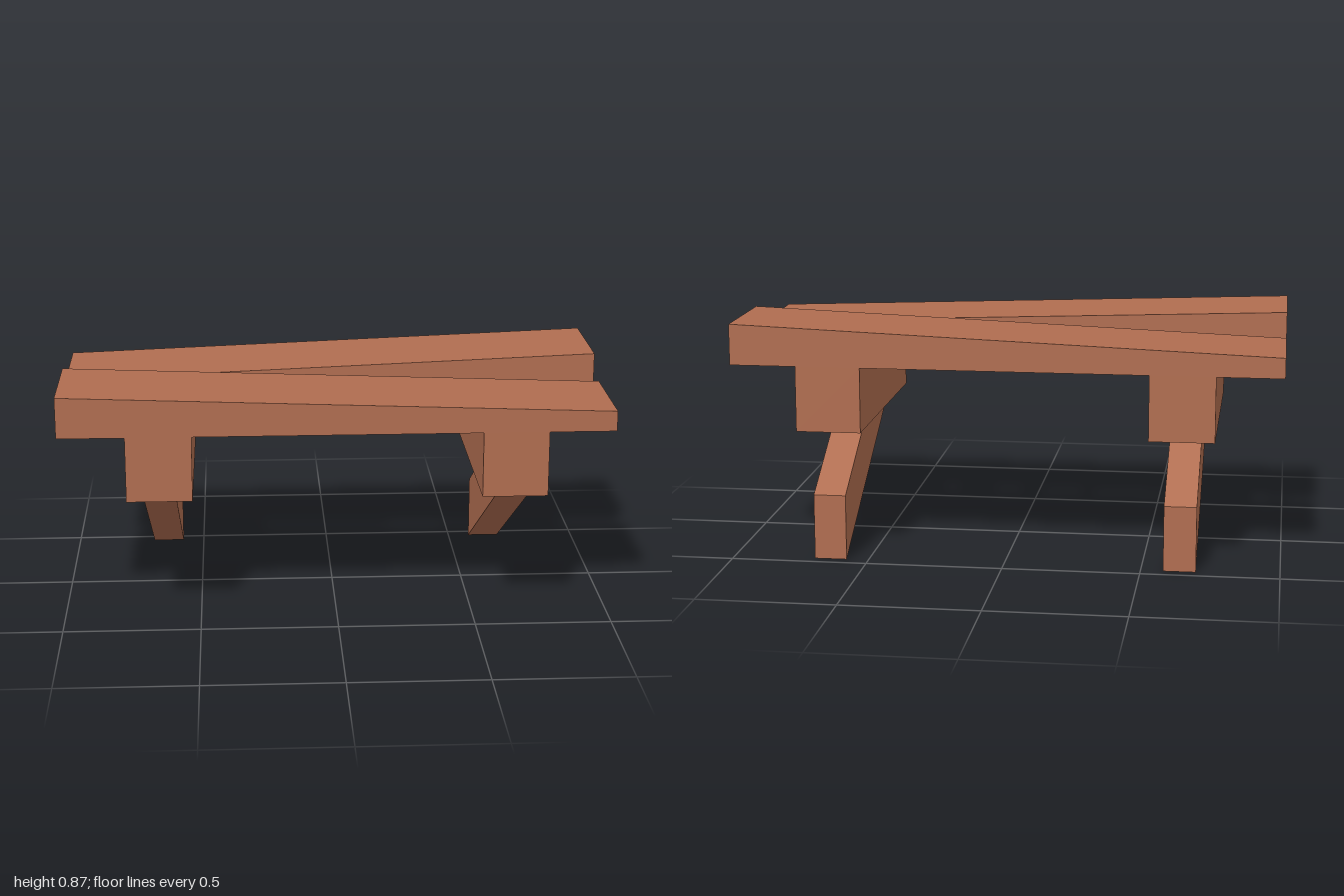
import * as THREE from 'three';

// Prism from a 2D outline, extruded symmetrically about its own plane
function prism(points, depth) {
  const shape = new THREE.Shape(points.map(([a, b]) => new THREE.Vector2(a, b)));
  return new THREE.ExtrudeGeometry(shape, { depth, bevelEnabled: false }).translate(0, 0, -depth / 2);
}

export function createModel() {
  const group = new THREE.Group();
  const wood = new THREE.MeshStandardMaterial({ color: 0xb06d50 });
  wood.name = 'reddish wood';

  const add = (name, geometry, x, y, z) => {
    const mesh = new THREE.Mesh(geometry, wood);
    mesh.name = name;
    mesh.position.set(x, y, z);
    group.add(mesh);
  };

  const beamBottom = 0.477, beamTop = 0.717, halfDepth = 0.457;
  const high = 0.867, low = 0.791;

  // Two seat planks, tapering in opposite directions
  for (const [name, s] of [['frontPlank', 1], ['backPlank', -1]]) {
    const outline = [[-1, beamTop], [1, beamTop], [1, s > 0 ? low : high], [-1, s > 0 ? high : low]];
    add(name, prism(outline, 0.399), 0, 0, s * 0.2575);
  }

  // Cross beam and slanted leg on each side; leg outline is [z, y]
  const legOutline = [[-halfDepth, 0], [0.41, beamBottom], [-0.028, beamBottom], [-halfDepth, 0.241]];
  for (const [side, s] of [['left', 1], ['right', -1]]) {
    add(side + 'CrossBeam', new THREE.BoxGeometry(0.237, beamTop - beamBottom, halfDepth * 2),
      s * 0.64, (beamTop + beamBottom) / 2, 0);
    add(side + 'Leg', prism(legOutline, 0.118).rotateY(-Math.PI / 2), s * 0.64, 0, 0);
  }
  return group;
}
